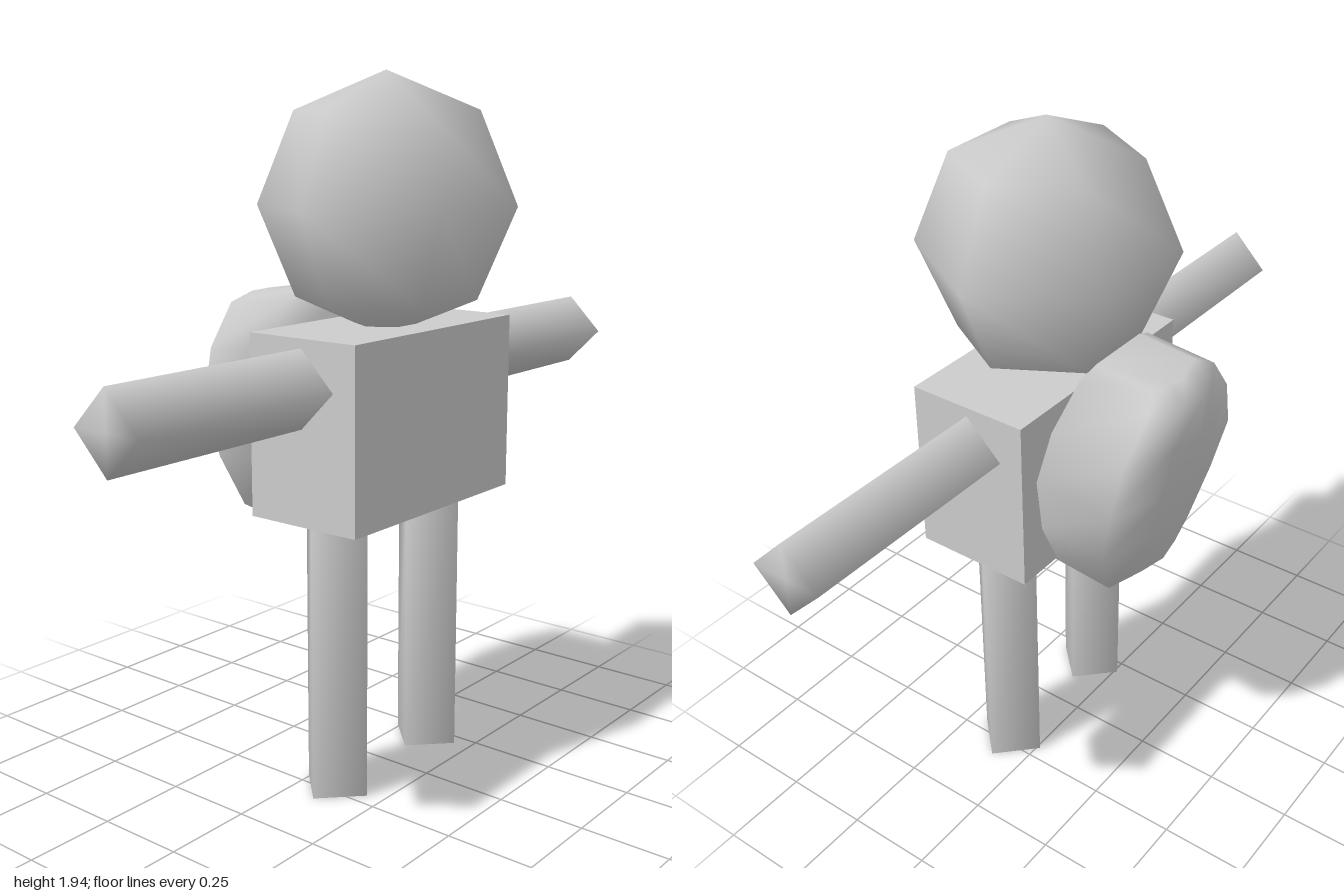
import * as THREE from 'three';
import { mergeVertices } from 'three/addons/utils/BufferGeometryUtils.js';

const DEPTH = 0.095; // z of the figure's centre line

// Weld a geometry so that its normals run smoothly over every edge
function softened(geometry) {
  geometry.deleteAttribute('normal');
  geometry.deleteAttribute('uv');
  const welded = mergeVertices(geometry, 1e-4);
  welded.computeVertexNormals();
  return welded;
}

// Rounded pack lofted from horizontal sections, leaning slightly backwards
function packGeometry() {
  // front height, half width, front z, side z, back z
  const rows = [
    [0.71, 0.12, -0.085, -0.20, -0.245],
    [0.77, 0.20, -0.055, -0.25, -0.295],
    [0.92, 0.27, -0.065, -0.275, -0.335],
    [1.08, 0.29, -0.08, -0.31, -0.375],
    [1.22, 0.25, -0.10, -0.32, -0.39],
    [1.335, 0.155, -0.12, -0.33, -0.395],
    [1.36, 0.10, -0.13, -0.30, -0.33],
  ];
  const positions = [];
  const index = [];
  for (const [y, w, front, side, back] of rows) {
    const section = [
      [w, front], [w, side], [w * 0.42, back + 0.015], [0, back],
      [-w * 0.42, back + 0.015], [-w, side], [-w, front],
    ];
    for (const [x, z] of section) positions.push(x, y + 0.1 * (z - front), z);
  }
  const n = 7;
  const last = (rows.length - 1) * n;
  for (let r = 0; r < last; r += n) {
    for (let i = 0; i < n; i++) {
      const a = r + i, b = r + (i + 1) % n;
      index.push(a, b, b + n, a, b + n, a + n);
    }
  }
  // bottom and top caps
  for (let i = 1; i < n - 1; i++) {
    index.push(0, i + 1, i, last, last + i, last + i + 1);
  }
  const geometry = new THREE.BufferGeometry();
  geometry.setAttribute('position', new THREE.Float32BufferAttribute(positions, 3));
  geometry.setIndex(index);
  geometry.computeVertexNormals();
  return geometry;
}

export function createModel() {
  const model = new THREE.Group();
  model.name = 'figure';
  const grey = new THREE.MeshStandardMaterial({ color: 0xcccccc });
  grey.name = 'light grey';

  function add(name, geometry, x, y, z) {
    const mesh = new THREE.Mesh(geometry, grey);
    mesh.name = name;
    mesh.position.set(x, y, z);
    model.add(mesh);
    return mesh;
  }

  add('head', softened(new THREE.SphereGeometry(0.35, 6, 4)), 0, 1.59, DEPTH);
  add('torso', new THREE.BoxGeometry(0.7, 0.495, 0.35), 0, 1.0275, DEPTH);

  // Four-sided limbs with a corner towards the front
  const armGeometry = softened(new THREE.CylinderGeometry(0.105, 0.105, 0.65, 4));
  const legGeometry = softened(new THREE.CylinderGeometry(0.105, 0.105, 0.78, 4));
  for (const [label, s] of [['left', 1], ['right', -1]]) {
    const arm = add(label + 'Arm', armGeometry, s * 0.675, 1.145, DEPTH);
    arm.rotation.z = -s * Math.PI / 2;
    add(label + 'Leg', legGeometry, s * 0.21, 0.39, DEPTH);
  }

  add('backpack', packGeometry(), 0, 0, 0);
  return model;
}
